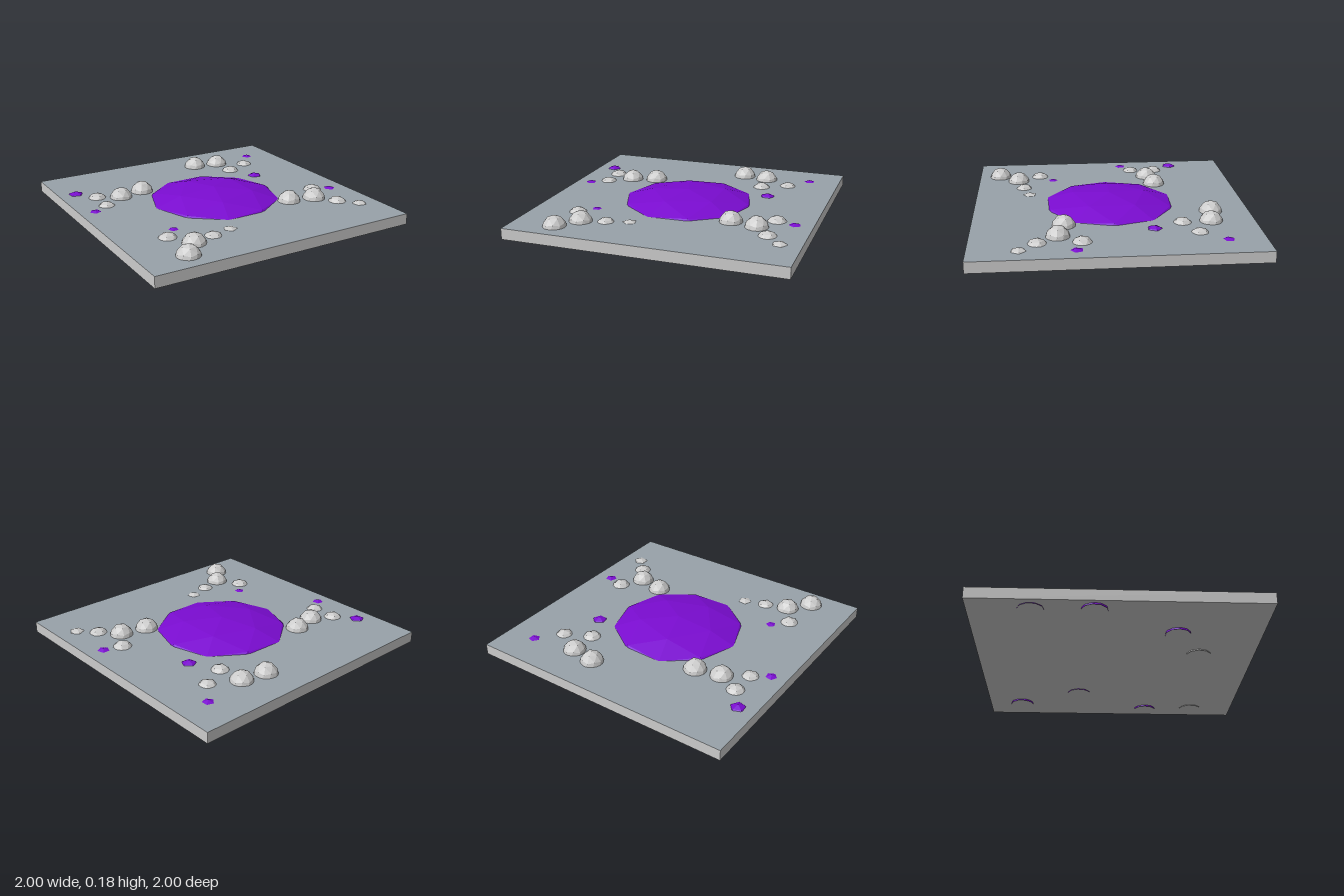
import * as THREE from 'three';

const grey = new THREE.MeshStandardMaterial({ color: 0xcccccc, flatShading: true });
const slate = new THREE.MeshStandardMaterial({ color: 0x98a2a9, flatShading: true });
const purple = new THREE.MeshStandardMaterial({ color: 0x7a0cd0, flatShading: true });

// Upper half of a faceted ball with one corner pointing straight up, open below
function domeGeometry() {
  const ball = new THREE.IcosahedronGeometry(1, 1);
  ball.rotateX(-Math.atan((1 + Math.sqrt(5)) / 2));
  ball.rotateY(-Math.PI / 2);
  const p = ball.attributes.position;
  const kept = [];
  for (let i = 0; i < p.count; i += 3) {
    if (p.getY(i) + p.getY(i + 1) + p.getY(i + 2) < 0.01) continue;
    for (let k = i; k < i + 3; k++) kept.push(p.getX(k), p.getY(k), p.getZ(k));
  }
  const dome = new THREE.BufferGeometry();
  dome.setAttribute('position', new THREE.Float32BufferAttribute(kept, 3));
  dome.computeVertexNormals();
  return dome;
}

export function createModel() {
  const model = new THREE.Group();
  const dome = domeGeometry();

  function addDome(name, material, x, y, z, radius, height, turn = 0) {
    const mesh = new THREE.Mesh(dome, material);
    mesh.name = name;
    mesh.position.set(x, y, z);
    mesh.scale.set(radius, height, radius);
    mesh.rotation.y = turn;
    model.add(mesh);
  }

  // Square slab with a slate top face
  const slab = new THREE.Mesh(new THREE.BoxGeometry(2, 0.08, 2), [grey, grey, slate, grey, grey, grey]);
  slab.name = 'groundSlab';
  slab.position.y = 0.055;
  model.add(slab);

  // Shallow central pool
  addDome('pool', purple, 0, 0.026, 0, 0.54, 0.152);

  // Rocks: x, z, base height (the lower the base, the less shows)
  const rocks = [
    [0.24, -0.72, 0.07], [0.43, -0.685, 0.065], [0.44, -0.48, 0.026], [0.63, -0.57, 0.02],
    [-0.41, -0.39, 0.07], [-0.6, -0.35, 0.065], [-0.76, -0.43, 0.026], [-0.765, -0.24, 0.02],
    [0.435, 0.355, 0.07], [0.63, 0.4, 0.07], [0.735, 0.24, 0.03], [0.74, 0.54, 0.026], [0.85, 0.66, 0.01],
    [-0.555, 0.685, 0.065], [-0.68, 0.835, 0.067], [-0.66, 0.515, 0.026], [-0.385, 0.64, 0.02], [-0.225, 0.595, 0.006],
  ];
  rocks.forEach(([x, z, y], i) => addDome('rock', grey, x, y, z, 0.09, 0.107, i * 0.9));

  // Small droplets of the pool's colour
  const droplets = [
    [0.77, -0.74, 0.002], [-0.87, -0.58, 0.01], [-0.885, -0.165, 0.002],
    [0.54, -0.27, 0.01], [0.87, 0.28, 0.003], [-0.56, 0.41, 0],
  ];
  droplets.forEach(([x, z, y], i) => addDome('droplet', purple, x, y, z, 0.09, 0.107, i * 0.7));

  return model;
}
